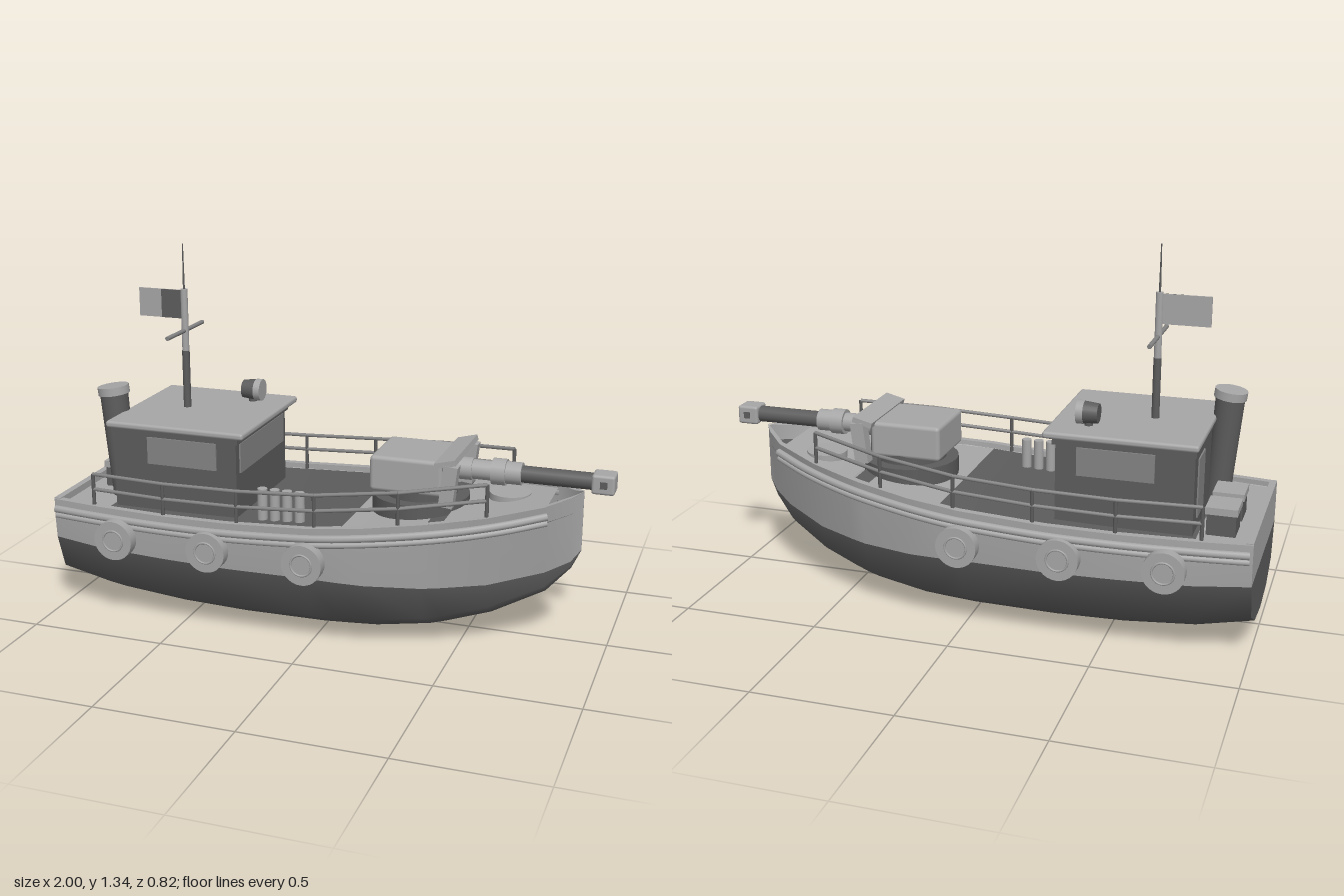
import * as THREE from 'three';
import { RoundedBoxGeometry } from 'three/addons/geometries/RoundedBoxGeometry.js';

const mat = (name, color, side = THREE.FrontSide) => {
  const m = new THREE.MeshStandardMaterial({ color, side });
  m.name = name;
  return m;
};

// Hull stations: x, keel y, waterline y, waterline half width, sheer y, sheer half width
const STATIONS = [
  [-1, 0.07, 0.28, 0.315, 0.43, 0.32], [-0.8, 0.03, 0.27, 0.345, 0.43, 0.345],
  [-0.55, 0.01, 0.265, 0.358, 0.43, 0.362], [-0.3, 0.003, 0.26, 0.36, 0.435, 0.37],
  [0, 0.005, 0.26, 0.352, 0.45, 0.365], [0.1, 0.01, 0.255, 0.343, 0.46, 0.357],
  [0.2, 0.015, 0.25, 0.328, 0.467, 0.343], [0.39, 0.04, 0.245, 0.275, 0.487, 0.3],
  [0.45, 0.055, 0.245, 0.248, 0.493, 0.28], [0.6, 0.1, 0.25, 0.18, 0.51, 0.225],
  [0.78, 0.19, 0.28, 0.075, 0.54, 0.135], [0.86, 0.28, 0.31, 0.02, 0.555, 0.05],
  [0.893, 0.35, 0.352, 0.001, 0.565, 0.002],
];

function station(x) {
  let i = 0;
  while (i < STATIONS.length - 2 && STATIONS[i + 1][0] < x) i++;
  const a = STATIONS[i], b = STATIONS[i + 1], t = (x - a[0]) / (b[0] - a[0]);
  return a.map((v, k) => THREE.MathUtils.lerp(v, b[k], t));
}

// Surface through rows of [x, y, z] points
function loft(rows) {
  const n = rows[0].length, index = [];
  for (let i = 0; i < rows.length - 1; i++)
    for (let j = 0; j < n - 1; j++) {
      const a = i * n + j, b = a + n;
      index.push(a, b, a + 1, b, b + 1, a + 1);
    }
  const g = new THREE.BufferGeometry();
  g.setAttribute('position', new THREE.Float32BufferAttribute(rows.flat(2), 3));
  g.setIndex(index);
  g.computeVertexNormals();
  return g;
}

export function createModel() {
  const model = new THREE.Group();
  model.name = 'boat';
  const light = mat('light grey', 0xa6a6a6);
  const lightSheet = mat('light grey plating', 0xa6a6a6, THREE.DoubleSide);
  const dark = mat('dark grey', 0x5c5c5c);
  const darkSheet = mat('dark grey plating', 0x5c5c5c, THREE.DoubleSide);
  const mid = mat('mid grey', 0x838383);

  const add = (name, geo, material, x = 0, y = 0, z = 0) => {
    const m = new THREE.Mesh(geo, material);
    m.name = name;
    m.position.set(x, y, z);
    model.add(m);
    return m;
  };
  const box = (name, m, x0, x1, y0, y1, z0, z1, r = 0) => add(name,
    r ? new RoundedBoxGeometry(x1 - x0, y1 - y0, z1 - z0, 2, r) : new THREE.BoxGeometry(x1 - x0, y1 - y0, z1 - z0),
    m, (x0 + x1) / 2, (y0 + y1) / 2, (z0 + z1) / 2);
  // Round bar between two points
  const bar = (name, m, a, b, r, r2 = r, sides = 16) => {
    const p = new THREE.Vector3(...a), q = new THREE.Vector3(...b);
    const d = q.clone().sub(p);
    const mesh = add(name, new THREE.CylinderGeometry(r2, r, d.length(), sides), m);
    mesh.position.copy(p).add(q).multiplyScalar(0.5);
    mesh.quaternion.setFromUnitVectors(new THREE.Vector3(0, 1, 0), d.normalize());
  };

  // Hull, painted dark below the waterline
  const below = ([x, k, wy, w], s) => {
    const h = wy - k;
    return [[x, k, 0], [x, k + h * 0.09, s * w * 0.5], [x, k + h * 0.38, s * w * 0.86], [x, wy, s * w]];
  };
  const above = ([x, , wy, w, sy, sw], s) =>
    [[x, wy, s * w], [x, (wy + sy) / 2, s * (w + sw) / 2 * 1.01], [x, sy, s * sw]];
  for (const s of [1, -1]) {
    add('lowerHull', loft(STATIONS.map(t => below(t, s))), darkSheet);
    add('upperHull', loft(STATIONS.map(t => above(t, s))), lightSheet);
    // Flat cap along the bulwark
    add('gunwale', loft(STATIONS.map(([x, , , , y, w]) =>
      [[x, y + 0.002, s * (w + 0.006)], [x, y + 0.002, s * Math.max(w - 0.02, 0)]])), lightSheet);
  }

  // Transom
  const st = STATIONS[0];
  const mirrorRows = pts => loft(pts.map(([x, y, z]) => [[x, y, z], [x, y, -z]]));
  add('lowerTransom', mirrorRows(below(st, 1)), darkSheet);
  add('upperTransom', mirrorRows(above(st, 1)), lightSheet);
  box('sternCap', light, -1, -0.975, 0.41, 0.435, -0.32, 0.32);

  // Deck in painted sections
  const deck = (name, x0, x1, m, drop = 0.025) => {
    const xs = [x0, ...STATIONS.map(t => t[0]).filter(x => x > x0 && x < x1), x1];
    add(name, loft(xs.map(x => {
      const t = station(x), w = t[5] - 0.004;
      return [[x, t[4] - drop, w], [x, t[4] - drop, -w]];
    })), m);
  };
  deck('afterDeck', -1, -0.8, lightSheet);
  deck('mainDeck', -0.8, 0.1, darkSheet);
  deck('foreDeck', 0.1, 0.39, lightSheet);
  deck('deckStrip', 0.39, 0.45, darkSheet);
  deck('bowDeck', 0.45, 0.78, lightSheet, 0.015);
  deck('bowWell', 0.78, 0.893, darkSheet, 0.06);

  // Rubbing strakes, railings and fenders on both sides
  for (const s of [1, -1]) {
    for (const [drop, out, r] of [[0.035, 0.008, 0.014], [0.06, 0.004, 0.011]]) {
      const pts = [];
      for (let i = 0; i <= 14; i++) {
        const t = station(-0.99 + i * 1.78 / 14);
        pts.push(new THREE.Vector3(t[0], t[4] - drop, s * (t[5] + out)));
      }
      add('rubbingStrake', new THREE.TubeGeometry(new THREE.CatmullRomCurve3(pts), 42, r, 8), light);
    }

    const railPoint = (i, h) => {
      const x = -0.83 + i * 0.286, t = station(x);
      return [x, t[4] + h, s * (t[5] - 0.012)];
    };
    for (let i = 0; i < 6; i++) {
      bar('railPost', dark, railPoint(i, -0.02), railPoint(i, 0.117), 0.007, 0.007, 8);
      if (i < 5) for (const h of [0.06, 0.117])
        bar('rail', mid, railPoint(i, h), railPoint(i + 1, h), 0.007, 0.007, 8);
    }

    for (const x of [-0.72, -0.36, 0]) {
      const z = s * 0.388;
      bar('fender', light, [x, 0.33, z - 0.021], [x, 0.33, z + 0.021], 0.073, 0.073, 28);
      add('fenderRing', new THREE.TorusGeometry(0.038, 0.004, 6, 24), light, x, 0.33, s * 0.409);
    }
  }

  // Cabin with windows and roof
  box('cabin', dark, -0.785, -0.305, 0.4, 0.69, -0.24, 0.24);
  box('cabinCornice', dark, -0.79, -0.295, 0.685, 0.712, -0.25, 0.25);
  box('roof', light, -0.8, -0.265, 0.71, 0.735, -0.275, 0.275, 0.01);
  for (const s of [1, -1])
    box('sideWindow', mid, -0.65, -0.38, 0.58, 0.68, s * 0.242 - 0.004, s * 0.242 + 0.004);
  box('frontWindow', mid, -0.307, -0.299, 0.57, 0.68, -0.21, 0.21);
  box('rearDoor', mid, -0.79, -0.782, 0.45, 0.66, -0.18, -0.06);

  // Funnel leaning aft
  bar('funnel', dark, [-0.81, 0.41, 0.12], [-0.842, 0.81, 0.12], 0.045, 0.052, 24);
  bar('funnelRim', light, [-0.84, 0.795, 0.12], [-0.844, 0.825, 0.12], 0.058, 0.058, 24);

  // Stern lockers
  for (const z of [-0.155, 0]) {
    box('locker', dark, -0.925, -0.825, 0.4, 0.48, z - 0.055, z + 0.055);
    box('lockerLid', light, -0.93, -0.82, 0.48, 0.505, z - 0.06, z + 0.06);
  }

  // Mast, yard and flag
  bar('lowerMast', dark, [-0.6, 0.73, 0], [-0.6, 0.95, 0], 0.014);
  bar('upperMast', light, [-0.6, 0.95, 0], [-0.6, 1.18, 0], 0.013);
  bar('antenna', dark, [-0.6, 1.18, 0], [-0.6, 1.345, 0], 0.004, 0.002, 8);
  bar('yard', mid, [-0.6, 1.026, -0.152], [-0.6, 1.026, 0.152], 0.008);
  box('flag', light, -0.78, -0.61, 1.07, 1.175, -0.003, 0.003);
  box('flagPanel', dark, -0.69, -0.61, 1.07, 1.175, 0.002, 0.005);

  // Searchlight
  bar('searchlight', dark, [-0.435, 0.78, -0.155], [-0.375, 0.78, -0.155], 0.034, 0.04, 24);
  bar('searchlightRim', light, [-0.385, 0.78, -0.155], [-0.36, 0.78, -0.155], 0.041, 0.041, 24);
  bar('searchlightFoot', dark, [-0.4, 0.73, -0.155], [-0.4, 0.76, -0.155], 0.015);

  // Row of canisters on deck
  for (let i = 0; i < 4; i++) {
    const x = -0.21 + i * 0.047;
    bar('canister', light, [x, 0.41, 0.23], [x, 0.53, 0.23], 0.018);
  }

  // Round deck hatch
  bar('hatch', light, [0.62, 0.48, -0.07], [0.62, 0.515, -0.07], 0.075, 0.075, 28);

  // Deck gun: turntable, housing, shield and barrel
  bar('turntable', dark, [0.31, 0.44, 0], [0.31, 0.505, 0], 0.175, 0.175, 32);
  bar('turntableRing', dark, [0.31, 0.505, 0], [0.31, 0.54, 0], 0.13, 0.13, 32);
  box('gunHousing', light, 0.155, 0.42, 0.53, 0.66, -0.13, 0.13, 0.015);
  box('housingFront', dark, 0.414, 0.422, 0.53, 0.65, -0.12, 0.12);
  for (const s of [1, -1])
    box('shieldSide', light, 0.425, 0.475, 0.51, 0.66, s * 0.145 - 0.022, s * 0.145 + 0.022).rotation.z = -0.12;
  box('shieldTop', light, 0.4, 0.475, 0.655, 0.675, -0.165, 0.165).rotation.z = 0.25;
  const barrel = [['gunMantlet', light, 0.42, 0.5, 0.04], ['sleeve', light, 0.5, 0.57, 0.035],
    ['sleeveRing', light, 0.57, 0.62, 0.047], ['sleeveCollar', light, 0.62, 0.675, 0.04],
    ['barrel', dark, 0.67, 0.93, 0.03]];
  for (const [name, m, x0, x1, r] of barrel) bar(name, m, [x0, 0.607, 0], [x1, 0.607, 0], r, r, 20);
  box('muzzle', light, 0.92, 1, 0.572, 0.642, -0.04, 0.04, 0.01);
  box('muzzlePort', dark, 0.95, 0.975, 0.595, 0.62, -0.042, 0.042);

  return model;
}
